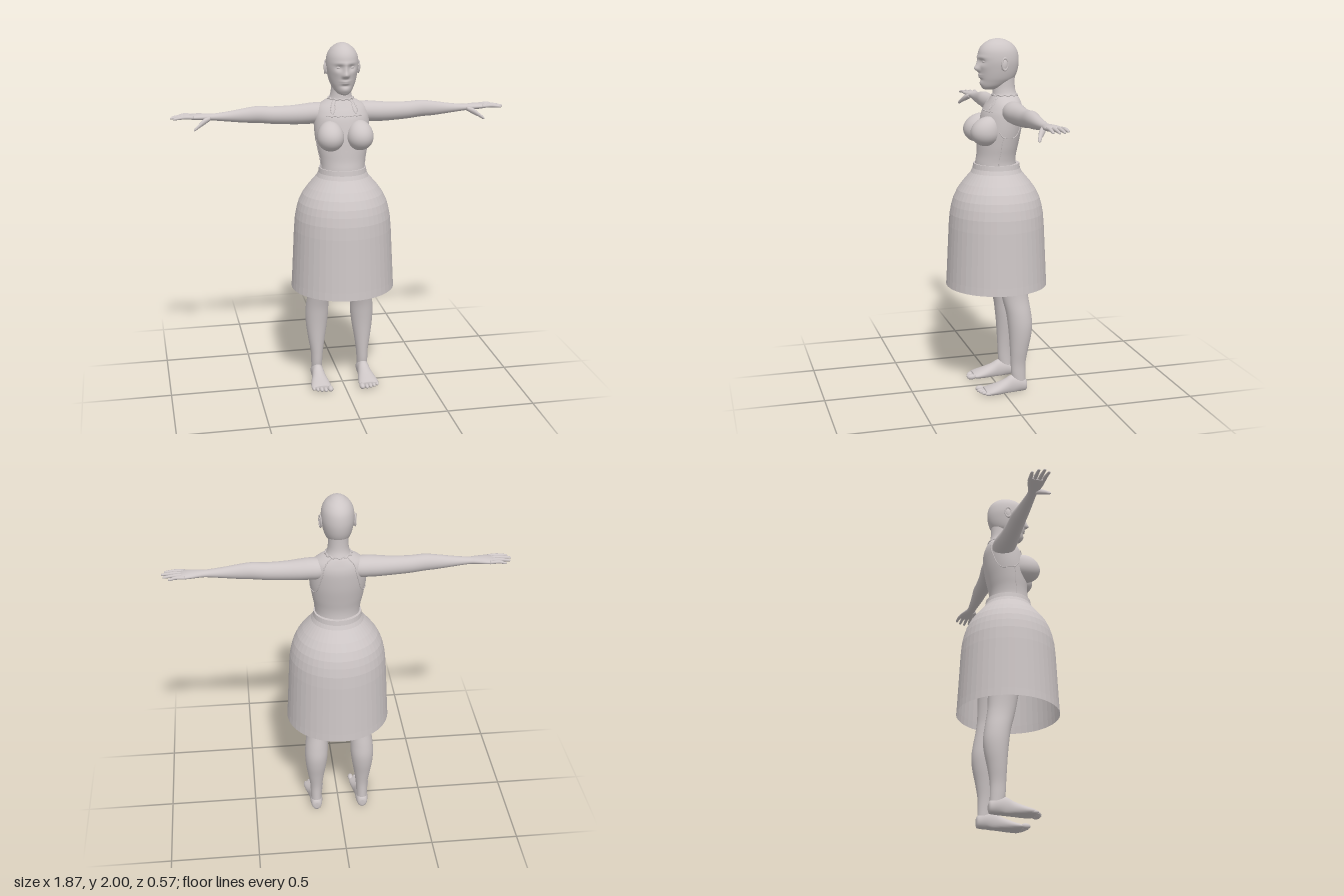
import * as THREE from 'three';

const TAU = Math.PI * 2;
const clay = new THREE.MeshStandardMaterial({ color: 0xcdc6c6, side: THREE.DoubleSide });
clay.name = 'paleClay';

// Smooth interpolation between neighbouring rows of numbers
function spline(rows, t) {
  const n = rows.length - 1, i = Math.min(Math.floor(t), n - 1), f = t - i;
  const at = k => rows[Math.max(0, Math.min(n, k))];
  const [p, a, b, q] = [at(i - 1), at(i), at(i + 1), at(i + 2)];
  return a.map((v, k) => v + 0.5 * f * (b[k] - p[k]
    + f * (2 * p[k] - 5 * v + 4 * b[k] - q[k] + f * (3 * (v - b[k]) + q[k] - p[k]))));
}

// Closed skin over cross-sections; place(row, angle) gives a point
function loft(rows, place, segs = 32, steps = 5) {
  const pos = [], idx = [], count = (rows.length - 1) * steps;
  for (let i = 0; i <= count; i++) {
    const row = spline(rows, i / steps);
    for (let j = 0; j < segs; j++) pos.push(...place(row, j / segs * TAU));
  }
  const centre = start => {
    const c = [0, 0, 0];
    for (let j = 0; j < segs; j++) for (let k = 0; k < 3; k++) c[k] += pos[(start + j) * 3 + k] / segs;
    pos.push(...c);
    return pos.length / 3 - 1;
  };
  const first = centre(0), last = centre(count * segs);
  for (let j = 0; j < segs; j++) {
    const n = (j + 1) % segs;
    for (let i = 0; i < count; i++) {
      const a = i * segs + j, b = i * segs + n;
      idx.push(a, a + segs, b, b, a + segs, b + segs);
    }
    idx.push(first, j, n, last, count * segs + n, count * segs + j);
  }
  const g = new THREE.BufferGeometry();
  g.setAttribute('position', new THREE.Float32BufferAttribute(pos, 3));
  g.setIndex(idx);
  g.computeVertexNormals();
  return g;
}

// Row styles: upright [y, cx, halfWidth, zFront, zBack], along x [x, cy, cz, ry, rz], along z [z, cx, rx, cy, ry]
const upright = ([y, cx, w, f, b], a) => [cx + w * Math.cos(a), y, (f + b) / 2 + (f - b) / 2 * Math.sin(a)];
const alongX = ([x, cy, cz, ry, rz], a) => [x, cy + ry * Math.cos(a), cz - rz * Math.sin(a)];
const alongZ = ([z, cx, rx, cy, ry], a) => [cx + rx * Math.cos(a), Math.max(0.004, cy - ry * Math.sin(a)), z];

const TORSO = [
  [0.92, 0, 0.10, 0.05, -0.09], [0.98, 0, 0.16, 0.09, -0.14], [1.07, 0, 0.18, 0.11, -0.155],
  [1.17, 0, 0.16, 0.12, -0.14], [1.25, 0, 0.135, 0.12, -0.115], [1.31, 0, 0.124, 0.118, -0.107],
  [1.36, 0, 0.128, 0.11, -0.108], [1.42, 0, 0.14, 0.106, -0.12], [1.5, 0, 0.152, 0.1, -0.136],
  [1.58, 0, 0.154, 0.083, -0.145], [1.62, 0, 0.148, 0.065, -0.144], [1.65, 0, 0.132, 0.046, -0.136],
  [1.675, 0, 0.095, 0.03, -0.126], [1.69, 0, 0.068, 0.022, -0.118], [1.72, 0, 0.057, 0.018, -0.107],
  [1.76, 0, 0.054, 0.015, -0.104], [1.82, 0, 0.054, 0.01, -0.106]];

// Point on the torso skin at an angle and height
function onTorso(a, y) {
  let i = TORSO.findIndex(r => r[0] > y);
  i = i < 1 ? TORSO.length - 1 : i;
  const f = (y - TORSO[i - 1][0]) / (TORSO[i][0] - TORSO[i - 1][0]);
  return new THREE.Vector3(...upright(spline(TORSO, i - 1 + f), a));
}

// Soft bumps shaping the face: [x, y, spreadX, spreadY, depth]
const pair = (x, ...r) => [[x, ...r], [-x, ...r]];
const FACE = [
  [0, 1.837, 0.011, 0.011, 0.021], [0, 1.862, 0.009, 0.02, 0.012], ...pair(0.013, 1.833, 0.006, 0.007, 0.006),
  ...pair(0.034, 1.876, 0.016, 0.012, -0.012), ...pair(0.035, 1.899, 0.026, 0.007, 0.005),
  [0, 1.803, 0.017, 0.004, 0.008], [0, 1.791, 0.014, 0.005, 0.008],
  [0, 1.776, 0.018, 0.006, -0.004], [0, 1.754, 0.02, 0.012, 0.007], ...pair(0.05, 1.85, 0.015, 0.015, 0.004)];

function headPoint(row, a) {
  const p = upright(row, a), front = Math.max(0, Math.sin(a));
  for (const [x, y, sx, sy, d] of FACE)
    p[2] += front * d * Math.exp(-(((p[0] - x) / sx) ** 2 + ((p[1] - y) / sy) ** 2) / 2);
  return p;
}

export function createModel() {
  const model = new THREE.Group();
  const add = (name, geo, parent = model) => {
    const m = new THREE.Mesh(geo, clay);
    m.name = name;
    parent.add(m);
    return m;
  };
  const ball = (name, at, size, parent) => {
    const m = add(name, new THREE.SphereGeometry(1, 24, 18), parent);
    m.position.set(...at);
    m.scale.set(...size);
    return m;
  };
  const tube = (name, pts, r, parent, closed = false) =>
    add(name, new THREE.TubeGeometry(new THREE.CatmullRomCurve3(pts, closed), pts.length * 5, r, 6, closed), parent);

  // Torso with neck, and head
  add('torso', loft(TORSO, upright, 48));
  add('head', loft([
    [1.722, 0, 0.012, 0.066, 0.01], [1.728, 0, 0.03, 0.077, -0.015], [1.742, 0, 0.046, 0.083, -0.045],
    [1.765, 0, 0.06, 0.088, -0.08], [1.79, 0, 0.071, 0.093, -0.104], [1.83, 0, 0.081, 0.099, -0.12],
    [1.88, 0, 0.088, 0.104, -0.126], [1.93, 0, 0.083, 0.1, -0.118], [1.965, 0, 0.065, 0.079, -0.095],
    [1.988, 0, 0.038, 0.045, -0.06], [1.997, 0, 0.018, 0.018, -0.032], [2, 0, 0.002, -0.003, -0.009]],
    headPoint, 96, 8));

  // Skirt: faceted bell with a waistband, open below
  const profile = [[0.292, 0.615], [0.289, 0.66], [0.286, 0.72], [0.282, 0.8], [0.278, 0.88], [0.274, 0.96],
    [0.268, 1.03], [0.258, 1.08], [0.246, 1.12], [0.224, 1.165], [0.195, 1.205], [0.165, 1.24],
    [0.146, 1.262], [0.135, 1.285], [0.131, 1.312], [0.112, 1.312]].map(p => new THREE.Vector2(...p));
  const skirt = new THREE.LatheGeometry(profile, 48).scale(1, 1, 0.98).toNonIndexed();
  skirt.computeVertexNormals();
  add('skirt', skirt);

  // Collar and scalloped neckline
  const ring = [];
  for (let i = 0; i < 24; i++) ring.push(onTorso(i / 24 * TAU, 1.688 + (i % 2) * 0.007));
  tube('collar', ring, 0.005, model, true);
  const neckline = [];
  for (let i = 0; i <= 12; i++) neckline.push(onTorso(0.85 + i / 12 * (Math.PI - 1.7), 1.603 + (i % 2) * 0.004));
  tube('neckline', neckline, 0.003);

  for (const side of [1, -1]) {
    const half = new THREE.Group();
    half.name = side > 0 ? 'leftSide' : 'rightSide';
    half.scale.x = side;
    model.add(half);

    // Head details
    ball('eye', [0.034, 1.876, 0.074], [0.016, 0.011, 0.014], half);
    ball('ear', [0.086, 1.86, -0.022], [0.01, 0.032, 0.018], half).rotation.x = -0.15;
    const rim = add('earRim', new THREE.TorusGeometry(0.018, 0.004, 8, 24), half);
    rim.position.set(0.093, 1.865, -0.024);
    rim.rotation.set(0, Math.PI / 2 + 0.25, 0);
    rim.scale.y = 1.75;

    // Bust, a little longer above than below
    const bust = new THREE.SphereGeometry(1, 32, 24), bp = bust.attributes.position;
    for (let i = 0; i < bp.count; i++) {
      const y = bp.getY(i);
      if (y > 0) { bp.setY(i, y * 1.2); bp.setZ(i, bp.getZ(i) - 0.25 * y * y); }
    }
    bust.computeVertexNormals();
    const b = add('bust', bust, half);
    b.position.set(0.082, 1.495, 0.085);
    b.scale.set(0.074, 0.074, 0.082);

    // Bodice seams and the leaf tab hanging from the collar
    tube('armholeSeam', [[0.35, 1.5], [0.15, 1.475], [-0.2, 1.468], [-0.5, 1.47], [-0.72, 1.5], [-0.85, 1.55],
      [-0.95, 1.6], [-0.95, 1.64], [-0.95, 1.665], [-0.95, 1.685]].map(p => onTorso(...p)), 0.003, half);
    tube('sideSeam', [1.47, 1.43, 1.39, 1.35, 1.31].map((y, i) => onTorso(0.12 + 0.02 * (i % 2), y)), 0.002, half);
    tube('collarTab', [[0.75, 1.688], [0.95, 1.665], [1.02, 1.64], [1.12, 1.618], [1.2, 1.645], [1.1, 1.668],
      [1.0, 1.688]].map(p => onTorso(...p)), 0.003, half);

    // Arm, palm and fingers
    add('arm', loft([
      [0.06, 1.607, -0.06, 0.045, 0.05], [0.11, 1.607, -0.06, 0.057, 0.062], [0.16, 1.607, -0.058, 0.058, 0.064],
      [0.21, 1.604, -0.057, 0.056, 0.06], [0.28, 1.602, -0.057, 0.052, 0.052], [0.38, 1.604, -0.058, 0.048, 0.046],
      [0.46, 1.611, -0.058, 0.046, 0.043], [0.53, 1.609, -0.056, 0.04, 0.037], [0.62, 1.607, -0.055, 0.028, 0.03],
      [0.70, 1.607, -0.055, 0.019, 0.025], [0.74, 1.609, -0.057, 0.018, 0.032], [0.79, 1.611, -0.062, 0.017, 0.043],
      [0.825, 1.611, -0.065, 0.013, 0.044], [0.84, 1.611, -0.065, 0.008, 0.038]], alongX), half);
    [[-0.1, -0.108, 0.9], [-0.076, -0.08, 0.928], [-0.052, -0.051, 0.937], [-0.029, -0.024, 0.922]].forEach(([z0, z1, tip], i) =>
      add('finger' + (i + 1), loft([
        [0.81, 1.612, z0, 0.01, 0.011], [0.86, 1.615, z0 * 0.6 + z1 * 0.4, 0.0095, 0.0105],
        [tip - 0.015, 1.61, z1, 0.007, 0.008], [tip - 0.003, 1.608, z1, 0.005, 0.006], [tip, 1.608, z1, 0.001, 0.001]],
        alongX, 12), half));
    add('thumb', loft([
      [0.72, 1.604, -0.04, 0.012, 0.015], [0.755, 1.59, -0.02, 0.017, 0.016], [0.785, 1.571, -0.002, 0.012, 0.011],
      [0.806, 1.556, 0.008, 0.009, 0.009], [0.815, 1.55, 0.012, 0.001, 0.001]], alongX, 12), half);

    // Leg, foot and toes
    add('leg', loft([
      [0.03, 0.137, 0.03, -0.065, -0.136], [0.1, 0.137, 0.032, -0.052, -0.134], [0.17, 0.136, 0.036, -0.048, -0.135],
      [0.25, 0.137, 0.048, -0.044, -0.148], [0.33, 0.136, 0.06, -0.039, -0.165], [0.4, 0.134, 0.066, -0.032, -0.172],
      [0.47, 0.131, 0.065, -0.022, -0.165], [0.55, 0.125, 0.061, -0.002, -0.152], [0.62, 0.122, 0.062, 0.013, -0.145],
      [0.75, 0.115, 0.075, 0.035, -0.145], [0.9, 0.1, 0.088, 0.055, -0.155], [1.03, 0.095, 0.083, 0.055, -0.15]],
      upright), half);
    add('foot', loft([
      [-0.143, 0.137, 0.012, 0.035, 0.018], [-0.133, 0.137, 0.028, 0.037, 0.036], [-0.095, 0.137, 0.036, 0.045, 0.05],
      [-0.05, 0.137, 0.036, 0.042, 0.056], [-0.01, 0.138, 0.042, 0.032, 0.045], [0.04, 0.14, 0.053, 0.024, 0.033],
      [0.085, 0.14, 0.058, 0.02, 0.022], [0.108, 0.136, 0.05, 0.02, 0.014]], alongZ), half);
    [[0.094, 0.124, 0.016], [0.121, 0.122, 0.012], [0.144, 0.115, 0.012], [0.166, 0.105, 0.011], [0.186, 0.09, 0.011]]
      .forEach(([x, z, r], i) => ball('toe' + (i + 1), [x, r * 0.95 + 0.006, z], [r, r, 0.026], half));
  }
  // Stand on the ground
  model.position.y = -0.004;
  return model;
}
